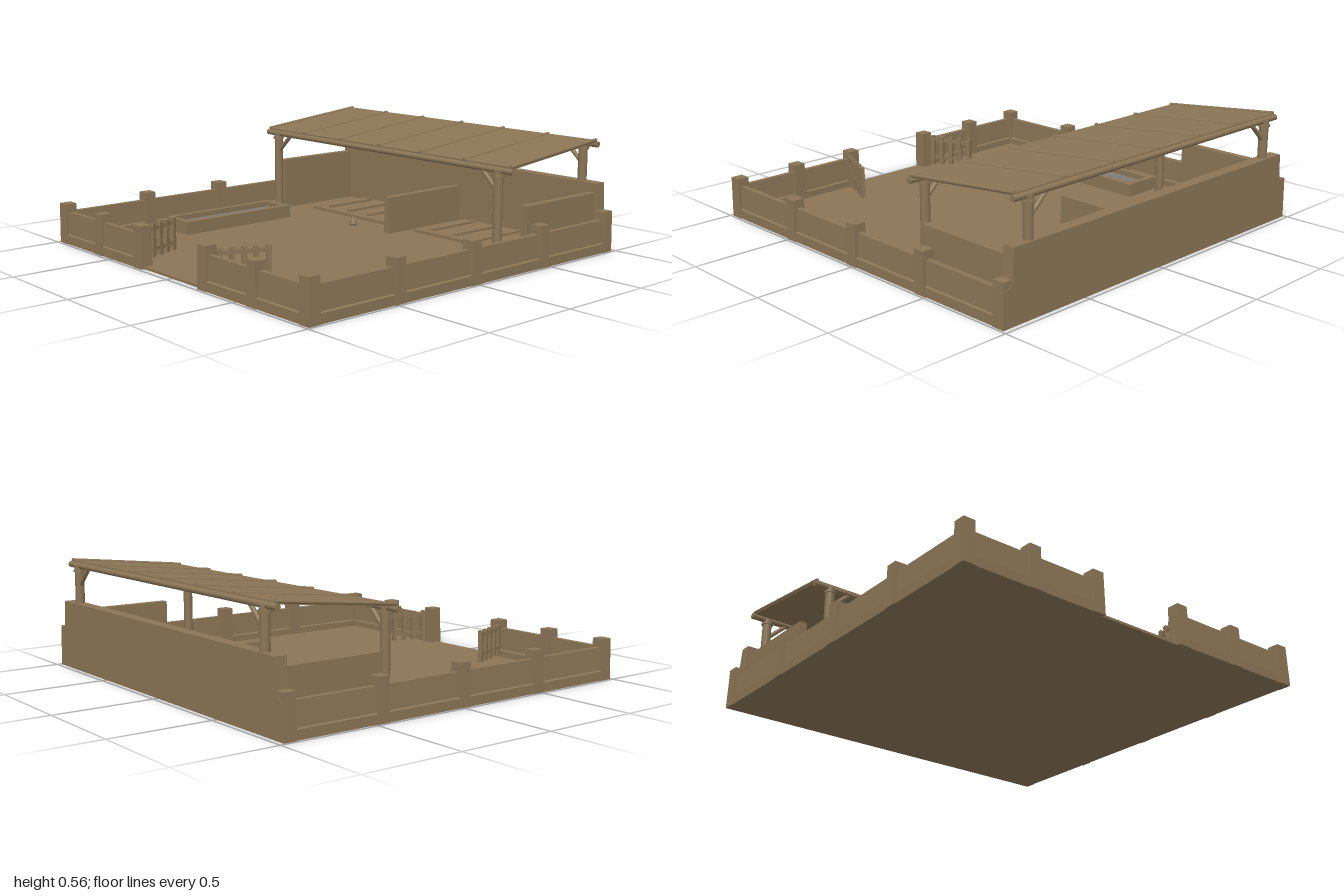
import * as THREE from 'three';

const wood = new THREE.MeshStandardMaterial({ color: 0x8b7556 });
wood.name = 'brown';
const grey = new THREE.MeshStandardMaterial({ color: 0x7f7b77 });
grey.name = 'waterGrey';

export function createModel() {
  const root = new THREE.Group();
  root.name = 'animalPen';

  const add = (name, geo, x = 0, y = 0, z = 0, mat = wood, parent = root) => {
    const m = new THREE.Mesh(geo, mat);
    m.name = name;
    m.position.set(x, y, z);
    parent.add(m);
    return m;
  };
  // box given by its minimum and maximum corners
  const block = (name, x0, x1, y0, y1, z0, z1, mat = wood, parent = root) =>
    add(name, new THREE.BoxGeometry(x1 - x0, y1 - y0, z1 - z0),
      (x0 + x1) / 2, (y0 + y1) / 2, (z0 + z1) / 2, mat, parent);
  // round bar between two points
  const bar = (name, a, b, r, parent = root) => {
    const p = new THREE.Vector3(...a), q = new THREE.Vector3(...b);
    const d = q.clone().sub(p);
    const m = add(name, new THREE.CylinderGeometry(r, r, d.length(), 12), 0, 0, 0, wood, parent);
    m.position.copy(p).add(q).multiplyScalar(0.5);
    m.quaternion.setFromUnitVectors(new THREE.Vector3(0, 1, 0), d.normalize());
    return m;
  };
  // square post, a little wider at the foot
  const post = (x, z) => {
    const geo = new THREE.BoxGeometry(0.06, 0.205, 0.06);
    const p = geo.attributes.position;
    for (let i = 0; i < p.count; i++) {
      if (p.getY(i) < 0) { p.setX(i, p.getX(i) * 1.08); p.setZ(i, p.getZ(i) * 1.08); }
    }
    geo.computeVertexNormals();
    add('wallPost', geo, x, 0.1025, z);
  };
  // low wall section: wide plinth with a narrower tapering panel, run along +x
  const wall = (length) => {
    const s = new THREE.Shape();
    [[-0.028, 0], [0.028, 0], [0.028, 0.045], [0.018, 0.05], [0.013, 0.163],
      [-0.013, 0.163], [-0.018, 0.05], [-0.028, 0.045]]
      .forEach(([x, y], i) => (i ? s.lineTo(x, y) : s.moveTo(x, y)));
    const g = new THREE.ExtrudeGeometry(s, { depth: length, bevelEnabled: false });
    return g.translate(0, 0, -length / 2);
  };

  block('floor', -0.97, 0.97, 0, 0.012, -0.97, 0.97);

  // low walls and their posts
  const edge = 0.958;
  for (const s of [-1, 1]) {
    add('sideWall', wall(1.9), -0.005, 0, s * edge).rotation.y = Math.PI / 2;
    for (const x of [-0.956, -0.48, -0.01, 0.46, 0.945]) post(x, s * edge);
    add('gateWall', wall(0.7), -0.956, 0, s * 0.61);
    for (const z of [0.26, 0.615]) post(-0.956, s * z);
  }

  // tall end wall with sloping shoulders
  const end = new THREE.Shape();
  [[-0.975, 0], [0.975, 0], [0.975, 0.16], [0.94, 0.19], [0.93, 0.34],
    [-0.93, 0.34], [-0.94, 0.19], [-0.975, 0.16]]
    .forEach(([z, y], i) => (i ? end.lineTo(z, y) : end.moveTo(z, y)));
  const endWall = add('endWall',
    new THREE.ExtrudeGeometry(end, { depth: 0.06, bevelEnabled: false }), 0.917, 0, 0);
  endWall.rotation.y = Math.PI / 2;

  // stall partitions
  for (const s of [-1, 1]) {
    block('outerPartition', 0.41, 0.93, 0, 0.292, s * 0.9 - 0.02, s * 0.9 + 0.02);
  }
  block('middlePartition', 0.38, 0.93, 0, 0.205, -0.02, 0.02);

  // sleeping platforms with raised slats
  for (const s of [-1, 1]) {
    block('platform', 0.51, 0.9, 0.01, 0.028, s * 0.41 - 0.34, s * 0.41 + 0.34);
    for (let i = 0; i < 4; i++) {
      const z = s * 0.41 - 0.24 + i * 0.16;
      block('platformSlat', 0.55, 0.87, 0.028, 0.04, z - 0.011, z + 0.011);
    }
  }

  // water trough
  const rim = new THREE.Shape();
  rim.moveTo(-0.345, -0.1).lineTo(0.345, -0.1).lineTo(0.345, 0.1).lineTo(-0.345, 0.1).closePath();
  const hole = new THREE.Path();
  hole.moveTo(-0.312, -0.068).lineTo(-0.312, 0.068).lineTo(0.312, 0.068).lineTo(0.312, -0.068).closePath();
  rim.holes.push(hole);
  add('trough', new THREE.ExtrudeGeometry(rim, { depth: 0.07, bevelEnabled: false }),
    -0.09, 0.01, -0.75).rotation.x = -Math.PI / 2;
  block('water', -0.402, 0.222, 0.046, 0.053, -0.818, -0.682, grey);

  // small feeder on the floor
  add('feeder', new THREE.LatheGeometry([[0, 0], [0.02, 0.004], [0.022, 0.018], [0.01, 0.034],
    [0.005, 0.048], [0, 0.054]].map(([x, y]) => new THREE.Vector2(x, y)), 12), 0.376, 0.01, -0.26);

  // open picket gates
  for (const s of [-1, 1]) {
    const gate = new THREE.Group();
    gate.name = 'gate';
    gate.position.set(-0.925, 0, s * 0.292);
    gate.rotation.y = -s * Math.atan2(0.09, 0.225);
    root.add(gate);
    for (const y of [0.065, 0.165]) block('gateRail', 0, 0.245, y - 0.01, y + 0.01, -0.006, 0.006, wood, gate);
    for (let i = 0; i < 5; i++) {
      const x = 0.012 + i * 0.056;
      block('gatePicket', x - 0.011, x + 0.011, 0.025, 0.187, -0.011, 0.011, wood, gate);
    }
  }

  // shelter posts, braces and beams
  const xf = 0.313, xb = 0.945;
  for (const [x, top] of [[xf, 0.462], [xb, 0.53]]) {
    for (const s of [-1, 1]) {
      bar('shelterPost', [x, 0, s * 0.82], [x, top, s * 0.82], 0.023);
      bar('postCollar', [x, top - 0.03, s * 0.82], [x, top - 0.02, s * 0.82], 0.03);
      bar('brace', [x, top - 0.1, s * 0.815], [x, top - 0.01, s * 0.72], 0.011);
    }
    bar('roofBeam', [x, top, -0.91], [x, top, 0.91], 0.015);
  }

  // sloping roof with thin battens
  const roof = new THREE.Group();
  roof.name = 'roof';
  roof.position.set((xf + xb) / 2, 0.512, 0);
  roof.rotation.z = Math.atan2(0.068, xb - xf);
  root.add(roof);
  block('roofPanel', -0.318, 0.318, -0.006, 0.006, -0.9, 0.9, wood, roof);
  for (let i = -3; i <= 3; i++) {
    const z = i * 0.2985;
    bar('roofBatten', [-0.318, 0.006, z], [0.318, 0.006, z], 0.009, roof);
  }
  return root;
}
